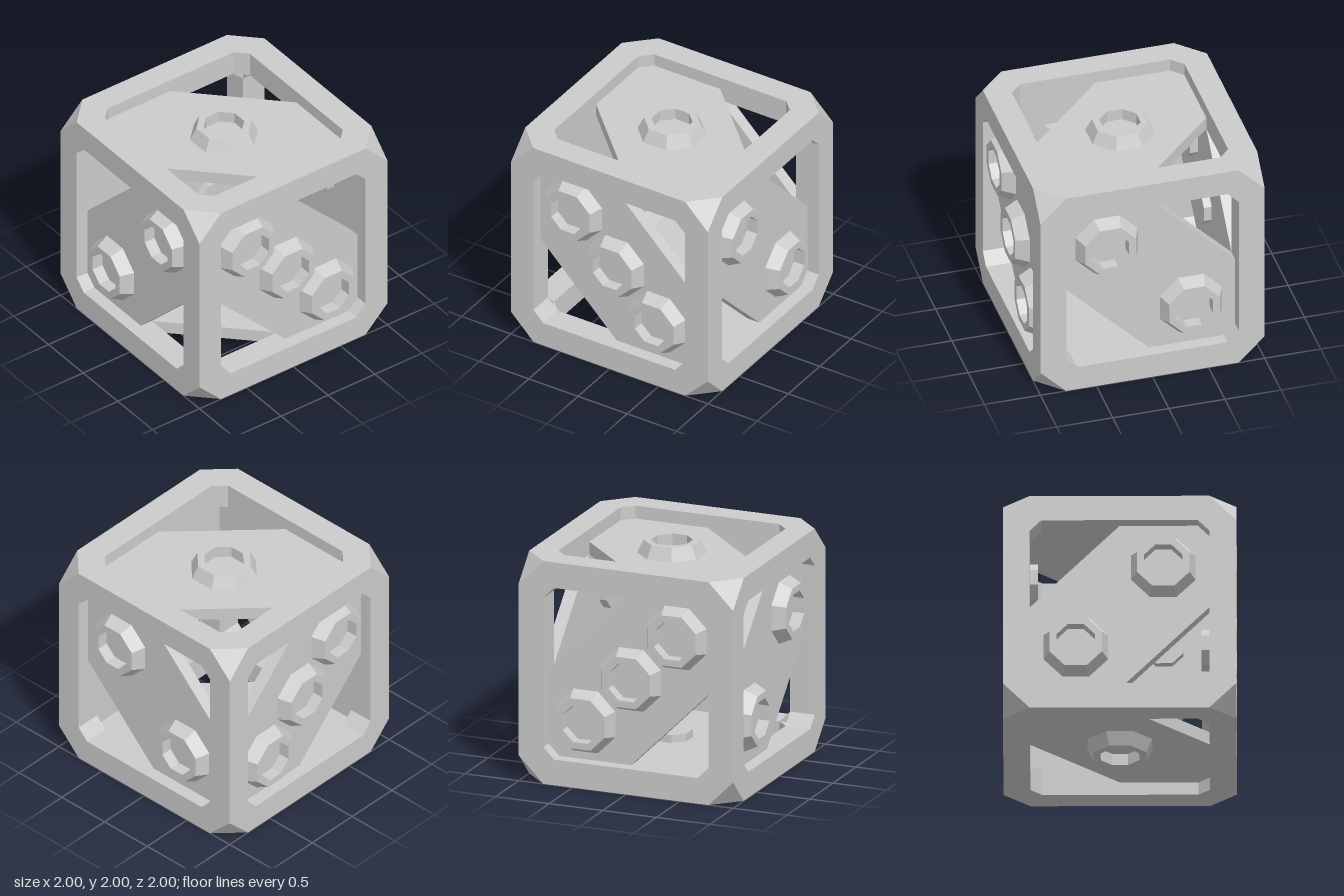
import * as THREE from 'three';

const A = 0.77;      // inner edge of the frame bars
const B = 0.67;      // start of the window corner chamfers
const PANEL = 0.885; // front of the recessed panels

const material = new THREE.MeshStandardMaterial({ color: 0xcccccc, flatShading: true });

function flatMesh(name, triangles) {
  const geometry = new THREE.BufferGeometry().setFromPoints(triangles.flat());
  geometry.computeVertexNormals();
  const mesh = new THREE.Mesh(geometry, material);
  mesh.name = name;
  return mesh;
}

// Joins counter-clockwise loops of equal length, with optional flat end caps
function loft(name, loops, capStart = false, capEnd = false) {
  const tris = [];
  const add = (a, b, c) => {
    if (new THREE.Triangle(a, b, c).getArea() > 1e-7) tris.push([a, b, c]);
  };
  for (let k = 0; k + 1 < loops.length; k++) {
    const p = loops[k], q = loops[k + 1], n = p.length;
    for (let i = 0; i < n; i++) {
      const j = (i + 1) % n;
      add(p[i], p[j], q[j]);
      add(p[i], q[j], q[i]);
    }
  }
  const first = loops[0], last = loops[loops.length - 1];
  for (let i = 1; i + 1 < first.length; i++) {
    if (capStart) add(first[0], first[i + 1], first[i]);
    if (capEnd) add(last[0], last[i], last[i + 1]);
  }
  return flatMesh(name, tris);
}

const loop = (points, z) => points.map(([x, y]) => new THREE.Vector3(x, y, z));

// Square of half-width a with its corners cut back to b
const cutSquare = (a, b) => [
  [a, -b], [a, b], [b, a], [-b, a], [-a, b], [-a, -b], [-b, -a], [b, -a],
];

const octagon = (apothem) => cutSquare(apothem, apothem * Math.tan(Math.PI / 8));

// One side of the frame: outer face, window lining and inner corner gussets
function frameSide() {
  return loft('frameSide', [
    loop(cutSquare(1, A), 1),
    loop(cutSquare(A, B), 1),
    loop(cutSquare(A, B), A),
    loop(cutSquare(A, A), A),
  ]);
}

// Diagonal panel leaving two corners of the window open
function diagonalPanel() {
  const outline = [[A, 0], [0, A], [-B, A], [-A, B], [-A, 0], [0, -A], [B, -A], [A, -B]];
  return loft('diagonalPanel', [loop(outline, A), loop(outline, PANEL)], true, true);
}

// Octagonal cup with a bevelled wall, a hollow and a plug behind the panel
function cup(offset) {
  const profile = [
    [0.165, 0.70], [0.165, 0.85], [0.277, PANEL], [0.225, 1], [0.165, 1], [0.165, 0.895],
  ];
  const mesh = loft('cup', profile.map(([r, z]) => loop(octagon(r), z)), true, true);
  mesh.position.set(offset, -offset, 0);
  return mesh;
}

function side(name, offsets, rotation, opposite) {
  const group = new THREE.Group();
  group.name = name;
  group.add(frameSide(), diagonalPanel(), ...offsets.map(cup));
  group.quaternion.setFromEuler(rotation);
  if (opposite) {
    // Half turn about the panel's diagonal
    const diagonal = new THREE.Vector3(-1, 1, 0).normalize();
    group.quaternion.multiply(new THREE.Quaternion().setFromAxisAngle(diagonal, Math.PI));
  }
  return group;
}

export function createModel() {
  const model = new THREE.Group();
  model.name = 'openCube';
  const body = new THREE.Group();
  body.name = 'cubeBody';
  body.position.y = 1;
  model.add(body);

  // Six sides in opposite pairs
  const pairs = [
    ['frontSide', 'backSide', [-0.425, 0, 0.425], new THREE.Euler()],
    ['leftSide', 'rightSide', [-0.375, 0.375], new THREE.Euler(0, Math.PI / 2, 0)],
    ['topSide', 'bottomSide', [0], new THREE.Euler(-Math.PI / 2, 0, 0)],
  ];
  for (const [name, oppositeName, offsets, rotation] of pairs) {
    body.add(side(name, offsets, rotation, false), side(oppositeName, offsets, rotation, true));
  }

  // Eight cut corners
  for (const x of [-1, 1]) for (const y of [-1, 1]) for (const z of [-1, 1]) {
    const corner = [
      new THREE.Vector3(x, y, A * z),
      new THREE.Vector3(A * x, y, z),
      new THREE.Vector3(x, A * y, z),
    ];
    if (x * y * z < 0) corner.reverse();
    body.add(flatMesh('cutCorner', [corner]));
  }
  return model;
}
